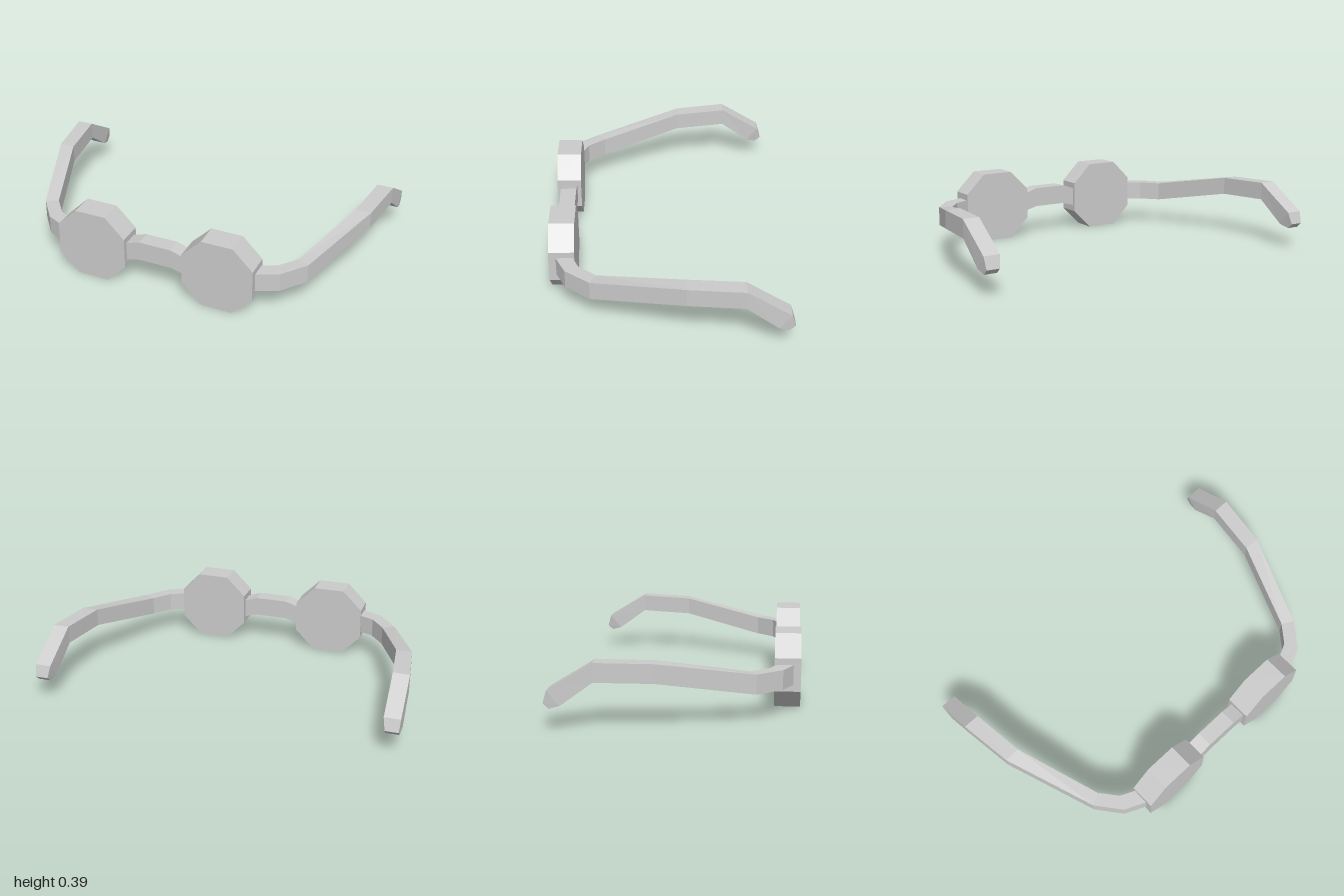
import * as THREE from 'three';

const material = new THREE.MeshStandardMaterial({ color: 0xcccccc, flatShading: true });

// Flat polygon in x/y, extruded from z0 to z1
function slab(name, points, z0, z1) {
  const shape = new THREE.Shape(points.map(([x, y]) => new THREE.Vector2(x, y)));
  const geometry = new THREE.ExtrudeGeometry(shape, { depth: z1 - z0, bevelEnabled: false });
  geometry.translate(0, 0, z0);
  const mesh = new THREE.Mesh(geometry, material);
  mesh.name = name;
  return mesh;
}

// Closed, flat-shaded loft through four-cornered rings
function loft(rings) {
  const pos = [];
  const quad = (a, b, c, d) => pos.push(...a, ...b, ...c, ...a, ...c, ...d);
  for (let i = 0; i < rings.length - 1; i++) {
    const a = rings[i], b = rings[i + 1];
    for (let k = 0; k < 4; k++) {
      const n = (k + 1) % 4;
      quad(a[k], a[n], b[n], b[k]);
    }
  }
  quad(...[...rings[0]].reverse());
  quad(...rings[rings.length - 1]);
  const geometry = new THREE.BufferGeometry();
  geometry.setAttribute('position', new THREE.Float32BufferAttribute(pos, 3));
  geometry.computeVertexNormals();
  return geometry;
}

// Arm stations: outer x, outer z, inner x, inner z, top y, bottom y, z shift of the bottom edge
const armStations = [
  [0.53, 0.595, 0.53, 0.507, 0.25, 0.147, 0],
  [0.67, 0.53, 0.634, 0.46, 0.25, 0.147, 0],
  [0.773, 0.40, 0.71, 0.365, 0.25, 0.148, 0],
  [0.955, -0.085, 0.87, -0.085, 0.335, 0.238, 0],
  [0.995, -0.375, 0.907, -0.375, 0.344, 0.247, 0],
  [1.0, -0.60, 0.913, -0.60, 0.205, 0.13, 0.065],
  [0.995, -0.62, 0.925, -0.62, 0.14, 0.113, 0.03],
];

function arm(side) {
  const rings = armStations.map(([xo, zo, xi, zi, yt, yb, dz]) => {
    const ring = [
      [side * xo, yt, zo], [side * xo, yb, zo + dz],
      [side * xi, yb, zi + dz], [side * xi, yt, zi],
    ];
    return side > 0 ? ring : ring.reverse();
  });
  return new THREE.Mesh(loft(rings), material);
}

export function createModel() {
  const group = new THREE.Group();
  group.name = 'glasses';

  // Octagonal lenses and temple arms
  const r = 0.196, f = 0.087;
  const octagon = [[r, -f], [r, f], [f, r], [-f, r], [-r, f], [-r, -f], [-f, -r], [f, -r]];
  for (const side of [1, -1]) {
    const label = side > 0 ? 'left' : 'right';
    const points = octagon.map(([x, y]) => [x + side * 0.361, y + 0.197]);
    group.add(slab(label + 'Lens', points, 0.485, 0.62));
    const temple = arm(side);
    temple.name = label + 'Arm';
    group.add(temple);
  }

  // Arched nose bridge
  group.add(slab('bridge', [
    [-0.19, 0.139], [-0.09, 0.166], [0.09, 0.166], [0.19, 0.139],
    [0.19, 0.243], [0.09, 0.275], [-0.09, 0.275], [-0.19, 0.243],
  ], 0.507, 0.595));

  return group;
}
